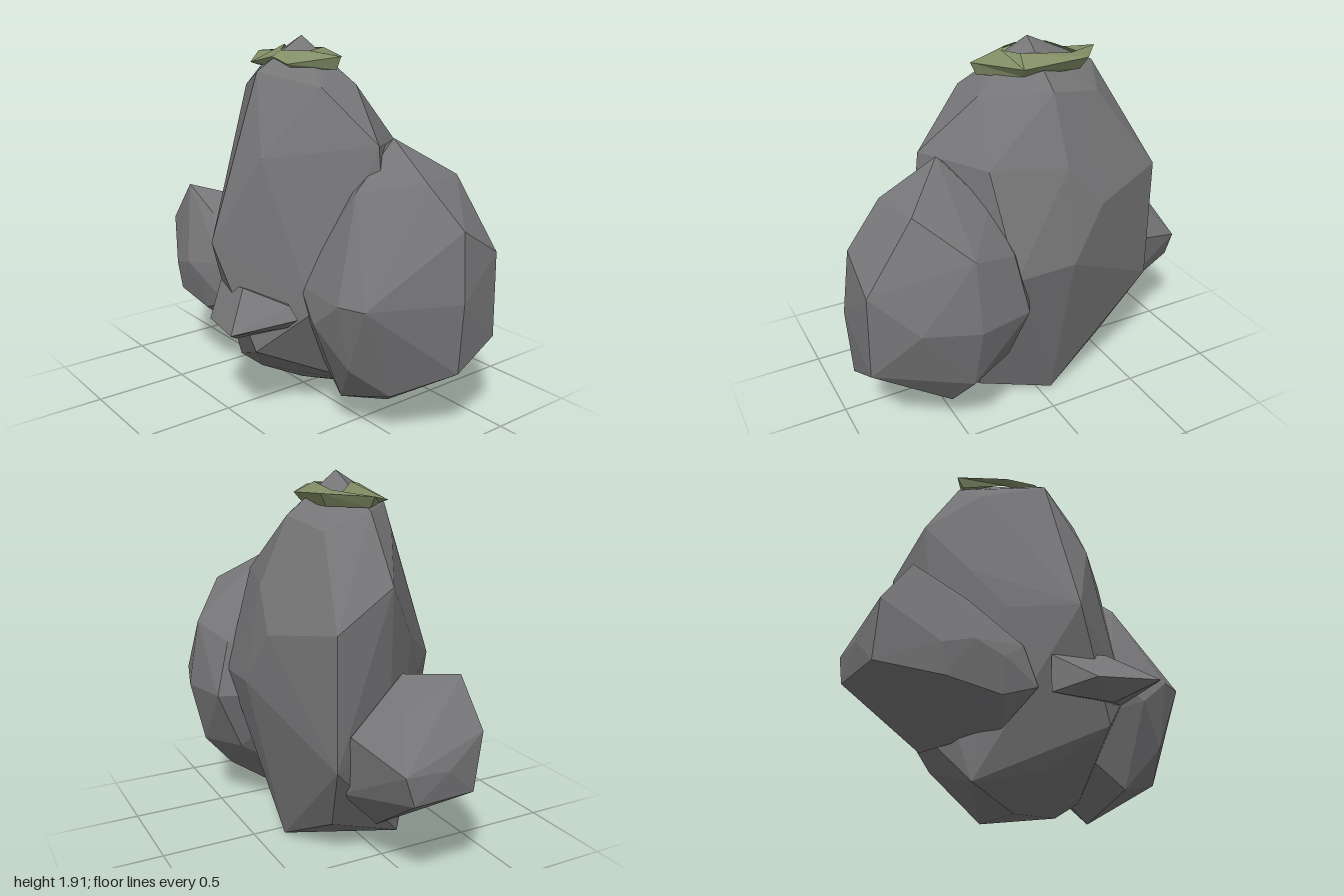
import * as THREE from 'three';
import { ConvexGeometry } from 'three/addons/geometries/ConvexGeometry.js';

const stone = new THREE.MeshStandardMaterial({ color: 0x757577, flatShading: true });
stone.name = 'stone grey';
const moss = new THREE.MeshStandardMaterial({ color: 0x828e66, flatShading: true, side: THREE.DoubleSide });
moss.name = 'moss green';

// A faceted boulder spanned by its corner points
function boulder(name, corners) {
  const mesh = new THREE.Mesh(new ConvexGeometry(corners.map(c => new THREE.Vector3(...c))), stone);
  mesh.name = name;
  return mesh;
}

// A closed band of faces through several loops of equal length
function band(loops) {
  const n = loops[0].length, index = [];
  for (let r = 0; r < loops.length - 1; r++) {
    for (let i = 0; i < n; i++) {
      const a = r * n + i, b = r * n + (i + 1) % n;
      index.push(a, a + n, b + n, a, b + n, b);
    }
  }
  const g = new THREE.BufferGeometry();
  g.setAttribute('position', new THREE.Float32BufferAttribute(loops.flat(2), 3));
  g.setIndex(index);
  const flat = g.toNonIndexed();
  flat.computeVertexNormals();
  return flat;
}

export function createModel() {
  const group = new THREE.Group();
  group.name = 'mossyRocks';

  group.add(boulder('mainBoulder', [
    // crown
    [-0.07, 1.92, -0.04], [-0.07, 1.75, 0.24], [-0.38, 1.65, 0.1], [-0.44, 1.75, -0.05],
    [0.14, 1.78, -0.04], [0.25, 1.69, 0.08], [0.25, 1.69, -0.14], [-0.07, 1.71, -0.31],
    [-0.35, 1.66, -0.25],
    // shoulders
    [0.12, 1.35, 0.35], [0.53, 1.43, -0.05], [-0.64, 1.43, -0.04], [-0.48, 1.14, 0.16],
    [-0.66, 1.24, -0.34], [-0.07, 1.38, -0.46], [0.3, 1.4, -0.36], [-0.25, 1.17, -0.5],
    // belly
    [-0.07, 0.91, 0.53], [-0.34, 0.91, 0.3], [0.57, 1.1, -0.05], [-0.66, 0.58, -0.34],
    [-0.07, 0.9, -0.55], [0.24, 0.88, -0.53], [0.42, 0.62, 0.26], [-0.56, 0.65, 0.0],
    // foot
    [0.17, 0.37, 0.43], [-0.07, 0.15, 0.23], [-0.42, 0.07, 0.14], [0.3, 0.06, -0.2],
    [0.38, 0.13, -0.1], [-0.07, 0.005, -0.04], [-0.07, 0.01, -0.35], [-0.43, 0.2, -0.25],
  ]));

  group.add(boulder('rightBoulder', [
    // top
    [0.49, 1.45, -0.18], [0.52, 1.22, 0.08], [0.77, 1.28, -0.14], [0.71, 1.28, -0.4],
    [0.3, 1.22, -0.35], [0.96, 1.08, -0.2], [0.49, 1.09, -0.6], [0.25, 1.02, -0.52],
    // waist
    [0.8, 0.93, 0.05], [0.33, 0.74, 0.27], [0.67, 0.74, 0.31], [0.5, 0.6, 0.32],
    [0.8, 0.74, 0.26], [1.0, 0.74, -0.18], [0.96, 0.94, -0.43], [0.97, 0.51, -0.43],
    [0.76, 0.76, -0.58], [0.49, 0.74, -0.66], [0.21, 0.74, -0.6],
    // side buried in the main boulder
    [0.0, 0.75, -0.18], [0.1, 1.08, -0.05], [0.1, 0.45, 0.08], [0.25, 0.42, -0.46],
    // foot
    [0.98, 0.38, -0.18], [0.67, 0.4, 0.24], [0.35, 0.28, 0.12], [0.77, 0.25, 0.06],
    [0.5, 0.17, 0.14], [0.5, 0.05, -0.18], [0.5, 0.4, -0.58], [0.55, 0.2, -0.41],
    [0.27, 0.24, -0.2],
  ]));

  group.add(boulder('leftBoulder', [
    // top
    [-0.82, 1.03, 0.22], [-0.58, 0.99, 0.05], [-0.53, 0.92, 0.24], [-0.36, 0.86, 0.2],
    [-0.8, 0.86, -0.08], [-0.66, 0.75, -0.27],
    // outer side and front
    [-0.98, 0.8, 0.24], [-1.0, 0.65, 0.05], [-0.98, 0.65, -0.17], [-0.98, 0.51, 0.2],
    [-0.98, 0.5, -0.12], [-0.73, 0.6, 0.37], [-0.57, 0.65, 0.39], [-0.41, 0.6, 0.39],
    [-0.28, 0.7, 0.35], [-0.21, 0.5, 0.37], [-0.41, 0.42, 0.37], [-0.7, 0.45, 0.36],
    // foot and buried side
    [-0.33, 0.31, 0.25], [-0.58, 0.23, -0.08], [-0.55, 0.42, -0.26],
    [-0.2, 0.65, 0.05], [-0.3, 0.5, -0.14],
  ]));

  group.add(boulder('frontStone', [
    [-0.17, 0.66, 0.42], [0.12, 0.71, 0.47], [0.38, 0.67, 0.37], [0.43, 0.61, 0.36],
    [-0.02, 0.53, 0.58], [0.3, 0.56, 0.66], [0.12, 0.45, 0.52], [-0.17, 0.47, 0.42],
    [0.32, 0.53, 0.34], [0.1, 0.58, 0.2],
  ]));

  // Moss collar: upper inner edge, outer rim, lower inner edge
  const upper = [[-0.34, 1.82, -0.16], [-0.19, 1.87, -0.02], [-0.07, 1.85, 0.09],
    [0.0, 1.85, 0.06], [0.05, 1.85, 0.0], [0.01, 1.86, -0.12], [-0.25, 1.84, -0.16]];
  const rim = [[-0.46, 1.82, -0.04], [-0.26, 1.78, 0.15], [-0.07, 1.82, 0.145], [0.05, 1.79, 0.14],
    [0.24, 1.83, -0.05], [0.04, 1.81, -0.22], [-0.3, 1.83, -0.24]];
  const lower = rim.map(([x, , z]) => [-0.07 + (x + 0.07) * 0.9, 1.765, -0.04 + (z + 0.04) * 0.8]);
  const collar = new THREE.Mesh(band([upper, rim, lower]), moss);
  collar.name = 'mossCollar';
  group.add(collar);

  return group;
}
